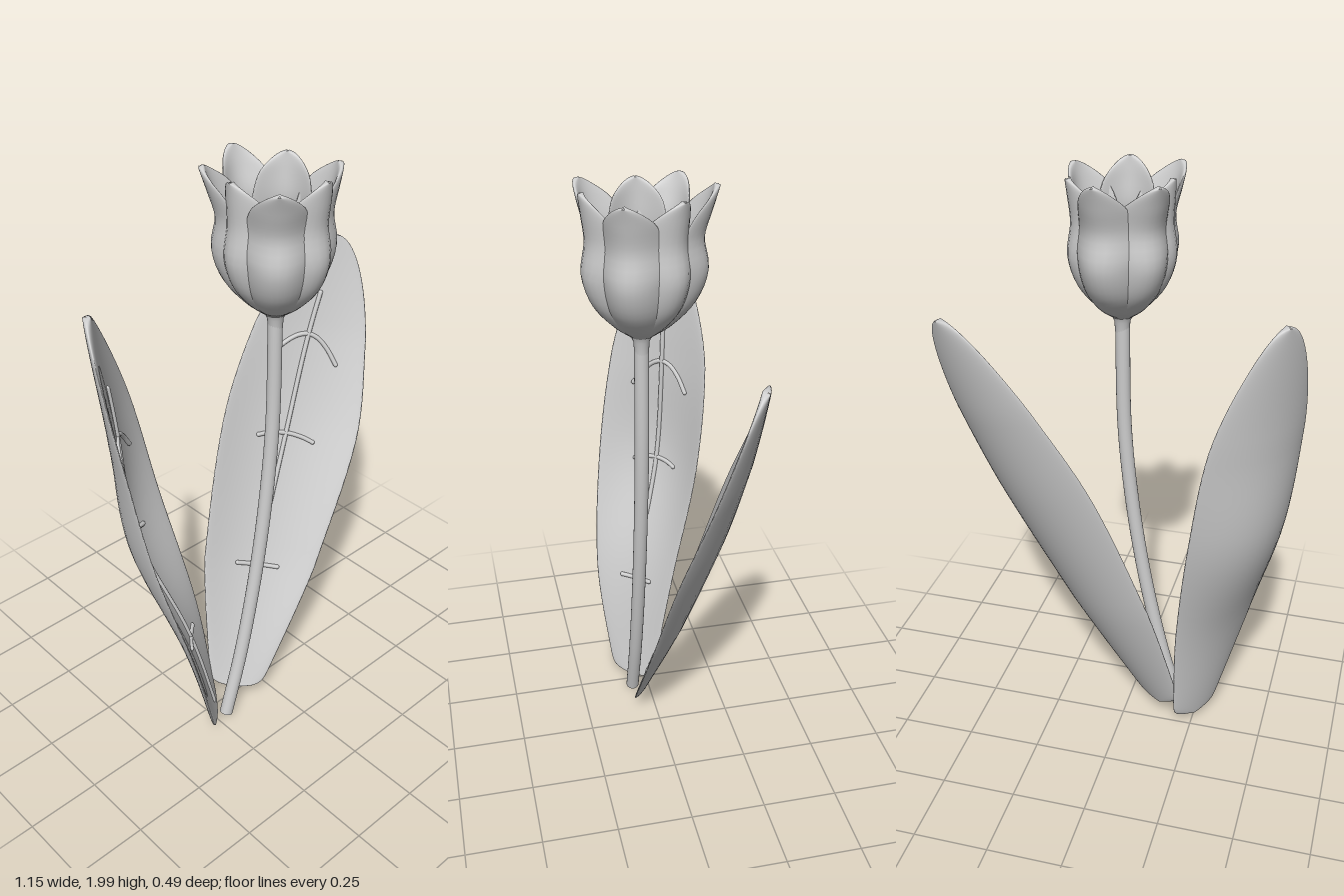
import * as THREE from 'three';
import { mergeGeometries } from 'three/addons/utils/BufferGeometryUtils.js';

const material = new THREE.MeshStandardMaterial({ color: 0xcccccc });
const V = (x, y, z) => new THREE.Vector3(x, y, z);
const curve = (pts) => new THREE.CatmullRomCurve3(pts.map((p) => V(...p)));

function mesh(geometry, name) {
  const m = new THREE.Mesh(geometry, material);
  m.name = name;
  return m;
}

// Normal of a surface f(u, v), kept away from the pinched ends
function normalAt(f, u, v) {
  const e = 0.01;
  const w = THREE.MathUtils.clamp(v, 0.03, 0.97);
  const du = f(u + e, w).sub(f(u - e, w));
  const dv = f(u, w + e).sub(f(u, w - e));
  return du.cross(dv).normalize();
}

// Closed lens-section shell around a surface f(u, v), u in -1..1, v in 0..1
function shell(f, thickness, rows = 48, ring = 40) {
  const pos = [];
  const idx = [];
  for (let j = 0; j <= rows; j++) {
    const v = (1 - Math.cos((Math.PI * j) / rows)) / 2;
    for (let i = 0; i < ring; i++) {
      const a = (2 * Math.PI * i) / ring;
      const u = Math.cos(a);
      const p = f(u, v).addScaledVector(normalAt(f, u, v), thickness * Math.sin(a));
      pos.push(p.x, p.y, p.z);
      if (j === rows) continue;
      const k = (i + 1) % ring;
      const p00 = j * ring + i, p10 = j * ring + k;
      idx.push(p00, p00 + ring, p10, p10, p00 + ring, p10 + ring);
    }
  }
  const g = new THREE.BufferGeometry();
  g.setAttribute('position', new THREE.Float32BufferAttribute(pos, 3));
  g.setIndex(idx);
  g.computeVertexNormals();
  return g;
}

// Round-ended tube through points
function vein(points, radius) {
  const parts = [new THREE.TubeGeometry(new THREE.CatmullRomCurve3(points), 40, radius, 8)];
  for (const p of [points[0], points[points.length - 1]]) {
    parts.push(new THREE.SphereGeometry(radius, 8, 6).translate(p.x, p.y, p.z));
  }
  return mergeGeometries(parts);
}

// Cupped leaf: spine points, [half width, cup depth] along it, and the direction across
function makeLeaf(name, spinePts, section, acrossDir) {
  const spine = curve(spinePts);
  const sizes = curve(section.map(([w, c]) => [w, c, 0]));
  const across = V(...acrossDir).normalize();
  const axis = spine.getPoint(1).sub(spine.getPoint(0)).normalize();
  const face = across.clone().cross(axis).normalize();
  const f = (u, v) => {
    const t = THREE.MathUtils.clamp(v, 0, 1);
    const s = sizes.getPoint(t);
    const w = s.x * Math.sqrt(Math.max(0, 1 - t ** 11)) * Math.sqrt(Math.max(0, 1 - (1 - t) ** 140));
    return spine.getPoint(t)
      .addScaledVector(across, w * u)
      .addScaledVector(face, -s.y * (1 - u * u));
  };
  const onFace = (u, v) => f(u, v).addScaledVector(normalAt(f, u, v), 0.013);

  const leaf = new THREE.Group();
  leaf.name = name;
  leaf.add(mesh(shell(f, 0.012), 'blade'));

  // Midrib, then three cross veins that arch more towards the tip
  const rib = Array.from({ length: 14 }, (_, i) => onFace(0, 0.04 + (0.81 * i) / 13));
  leaf.add(mesh(vein(rib, 0.008), 'midrib'));
  for (const [t, reach, droop] of [[0.24, 0.38, 0], [0.49, 0.42, 0.01], [0.74, 0.55, 0.065]]) {
    const pts = [-1, -0.67, -0.33, 0, 0.33, 0.67, 1].map((k) => onFace(k * reach, t - droop * k * k));
    leaf.add(mesh(vein(pts, 0.008), 'crossVein'));
  }
  return leaf;
}

// Spoon-shaped petal standing at an angle round the flower axis
function petalGeometry(angle, tipRadius, scale, tipY) {
  const profile = curve([
    [0.03, 1.545, 0], [0.08 * scale, 1.585, 0], [0.138 * scale, 1.655, 0], [0.166 * scale, 1.745, 0],
    [0.154 * scale, 1.84, 0], [(0.154 * scale + tipRadius) / 2, 1.92, 0], [tipRadius, tipY, 0],
  ]);
  const widths = curve([[0.03, 0, 0], [0.055, 0, 0], [0.08, 0, 0], [0.092, 0, 0],
    [0.092, 0, 0], [0.086, 0, 0], [0.06, 0, 0]]);
  const c = Math.cos(angle), s = Math.sin(angle);
  return shell((u, v) => {
    const t = THREE.MathUtils.clamp(v, 0, 1);
    const p = profile.getPoint(t);
    const w = widths.getPoint(t).x * Math.sqrt(Math.max(0, 1 - t ** 8));
    const r = p.x - 8.5 * w * w * u * u;
    return V(r * c - w * u * s, p.y, r * s + w * u * c);
  }, 0.009, 36, 32);
}

export function createModel() {
  const model = new THREE.Group();
  model.name = 'flowerWithLeaves';

  // Curved stem with a flat cut at the foot
  const path = curve([[-0.207, 0.012, 0.06], [-0.135, 0.25, 0.06], [-0.067, 0.55, 0.06],
    [-0.018, 0.85, 0.06], [0.012, 1.15, 0.06], [0.02, 1.54, 0.06]]);
  model.add(mesh(new THREE.TubeGeometry(path, 60, 0.023, 20), 'stem'));
  const cut = mesh(new THREE.CircleGeometry(0.023, 20), 'stemCut');
  cut.position.copy(path.getPoint(0));
  cut.lookAt(cut.position.clone().sub(path.getTangent(0)));
  model.add(cut);

  // Flower: flared receptacle and a ring of petals
  const flower = new THREE.Group();
  flower.name = 'flower';
  flower.position.set(0.02, 0, 0.06);
  const base = [[0.022, 1.48], [0.025, 1.52], [0.036, 1.545], [0.046, 1.565], [0.044, 1.575], [0, 1.578]];
  flower.add(mesh(new THREE.LatheGeometry(base.map(([x, y]) => new THREE.Vector2(x, y)), 28), 'receptacle'));
  const petals = [
    [-83, 0.22, 1.15, 1.99], [-35, 0.165, 0.97, 1.975], [25, 0.19, 1.05, 1.98], [83, 0.175, 1.03, 1.985],
    [132, 0.215, 1.1, 1.985], [186, 0.155, 0.97, 1.975], [226, 0.21, 1.08, 1.985],
  ];
  for (const [deg, tip, scale, y] of petals) {
    flower.add(mesh(petalGeometry(THREE.MathUtils.degToRad(deg), tip, scale, y), 'petal'));
  }
  model.add(flower);

  // Upright leaf on the -x side, leaning leaf on the +x side
  model.add(makeLeaf('rightLeaf',
    [[-0.247, 0.03, 0.05], [-0.31, 0.44, 0.03], [-0.392, 0.89, -0.042], [-0.442, 1.25, -0.092], [-0.515, 1.635, -0.14]],
    [[0.085, 0.005], [0.158, 0.035], [0.2, 0.085], [0.19, 0.045], [0.11, 0]],
    [0.66, 0.015, -0.75]));
  model.add(makeLeaf('leftLeaf',
    [[-0.14, 0.075, 0.035], [0.045, 0.51, -0.03], [0.24, 0.95, -0.085], [0.385, 1.265, -0.14], [0.53, 1.56, -0.175]],
    [[0.095, 0.01], [0.205, 0.045], [0.245, 0.06], [0.205, 0.035], [0.12, 0]],
    [0.81, -0.28, 0.52]));

  return model;
}
